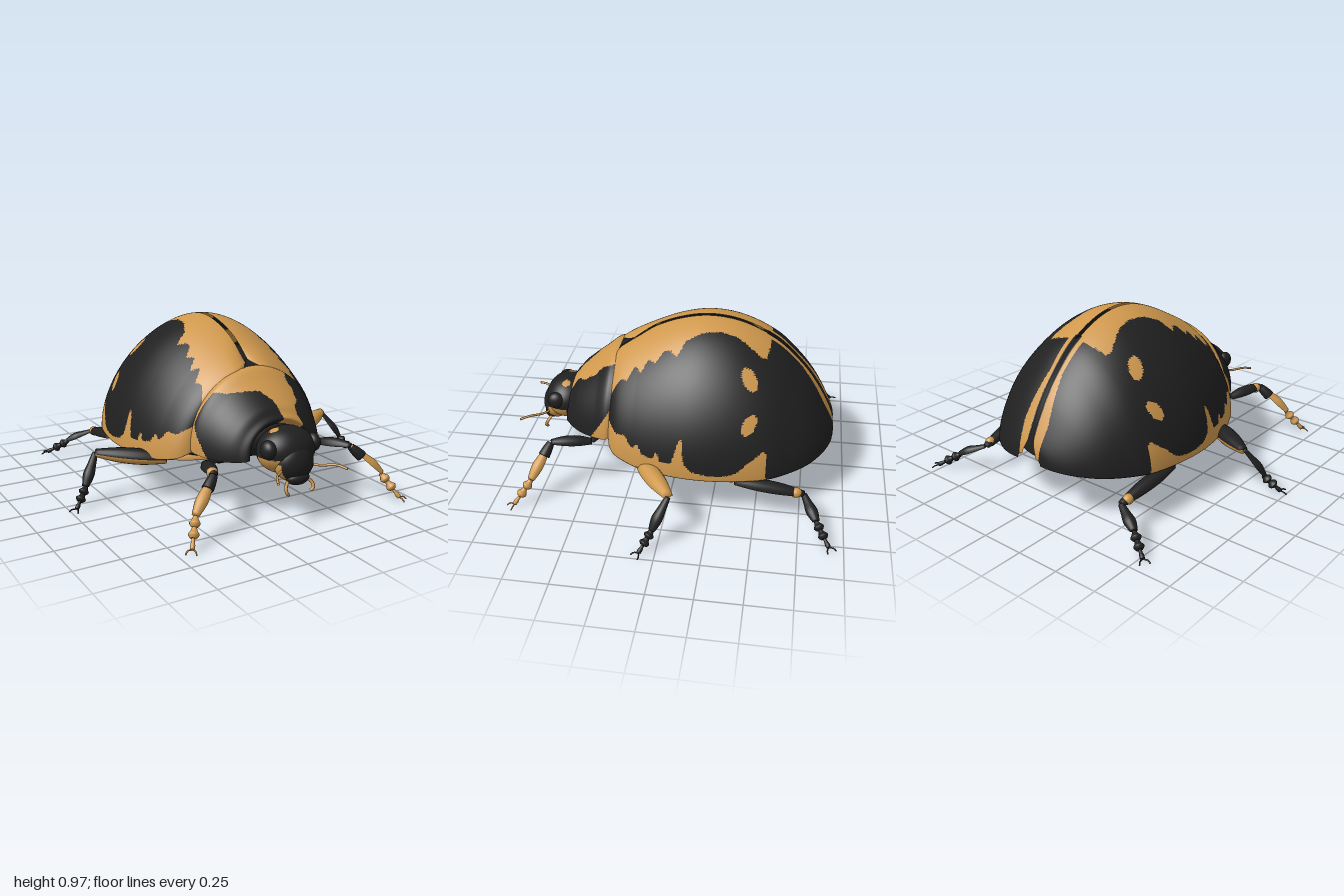
import * as THREE from 'three';

const black = new THREE.MeshStandardMaterial({ color: 0x202020, side: THREE.DoubleSide });
black.name = 'black shell';
const tan = new THREE.MeshStandardMaterial({ color: 0xcf984d, side: THREE.DoubleSide });
tan.name = 'tan shell';

const V = (x, y, z) => new THREE.Vector3(x, y, z);

// Linear lookup in a table of [key, value], keys falling
function lookup(table, k) {
  if (k >= table[0][0]) return table[0][1];
  for (let i = 1; i < table.length; i++) {
    const [k0, v0] = table[i - 1], [k1, v1] = table[i];
    if (k >= k1) return v1 + (v0 - v1) * (k - k1) / (k0 - k1);
  }
  return table[table.length - 1][1];
}

// Surface point(u, v) whose triangles are sorted into black and tan by isTan(centre)
function patterned(name, nu, nv, point, isTan, flip = false) {
  const pos = [], sorted = [[], []], row = nv + 1;
  for (let i = 0; i <= nu; i++) for (let j = 0; j <= nv; j++) pos.push(...point(i / nu, j / nv));
  const add = (a, b, c) => {
    const m = [0, 1, 2].map(k => (pos[a * 3 + k] + pos[b * 3 + k] + pos[c * 3 + k]) / 3);
    sorted[isTan && isTan(...m) ? 1 : 0].push(...(flip ? [a, c, b] : [a, b, c]));
  };
  for (let i = 0; i < nu; i++) for (let j = 0; j < nv; j++) {
    const a = i * row + j;
    add(a, a + 1, a + row);
    add(a + 1, a + row + 1, a + row);
  }
  const g = new THREE.BufferGeometry();
  g.setAttribute('position', new THREE.Float32BufferAttribute(pos, 3));
  g.setIndex([...sorted[0], ...sorted[1]]);
  g.addGroup(0, sorted[0].length, 0);
  g.addGroup(sorted[0].length, sorted[1].length, 1);
  g.computeVertexNormals();
  const mesh = new THREE.Mesh(g, [black, tan]);
  mesh.name = name;
  return mesh;
}

// Smooth cross-section {z, half width, top, bottom} at t along a list of sections
function sectionAt(list) {
  const curve = new THREE.CatmullRomCurve3(list.map(s => V(s[1], s[2], s[0])));
  return t => {
    const p = curve.getPoint(t), f = t * (list.length - 1), i = Math.min(Math.floor(f), list.length - 2);
    return { z: p.z, w: p.x, h: p.y, b: list[i][3] + (list[i + 1][3] - list[i][3]) * (f - i) };
  };
}

// Ellipsoid, optionally flatter below its centre
function blob(name, c, r, isTan = null, low = r[1], n = 28) {
  return patterned(name, n, n * 2, (u, v) => {
    const a = u * Math.PI, b = v * Math.PI * 2, s = Math.sin(a), y = s * Math.cos(b);
    return [c[0] + r[0] * s * Math.sin(b), c[1] + y * (y > 0 ? r[1] : low), c[2] + r[2] * Math.cos(a)];
  }, isTan);
}

// Limb between two points, flattened from above, with an upper and a lower colour
function limb(name, a, b, radii, upper, lower = upper, flat = 1) {
  const d = b.clone().sub(a), L = d.length();
  d.normalize();
  const curve = new THREE.SplineCurve(radii.map((r, i) => new THREE.Vector2(r, L * i / (radii.length - 1))));
  const pts = curve.getPoints(14).map(p => new THREE.Vector2(Math.max(p.x, 0.0005), p.y));
  pts.unshift(new THREE.Vector2(0, 0));
  pts.push(new THREE.Vector2(0, L));
  const g = new THREE.Group();
  g.name = name;
  [upper, lower].forEach((mat, i) => {
    const half = new THREE.Mesh(new THREE.LatheGeometry(pts, 8, (i - .5) * Math.PI, Math.PI), mat);
    half.name = name + (i ? 'Underside' : 'Top');
    g.add(half);
  });
  const up = V(0, 1, 0).addScaledVector(d, -d.y).normalize();
  g.quaternion.setFromRotationMatrix(new THREE.Matrix4().makeBasis(d.clone().cross(up), d, up));
  g.position.copy(a);
  g.scale.z = flat;
  return g;
}

function tube(name, points, r, mat) {
  const mesh = new THREE.Mesh(new THREE.TubeGeometry(new THREE.CatmullRomCurve3(points), 20, r, 8), mat);
  mesh.name = name;
  return mesh;
}

// Wing cases: sections, inner edge of the dark field, and top of the pale side band
const wingSection = sectionAt([
  [.34, .34, .70, .36], [.362, .395, .755, .33], [.325, .465, .79, .29], [.2, .53, .86, .26],
  [0, .582, .945, .25], [-.17, .6, .976, .25], [-.35, .588, .953, .25], [-.55, .54, .86, .25],
  [-.68, .465, .745, .255], [-.78, .38, .625, .262], [-.865, .26, .48, .275], [-.905, .16, .39, .285], [-.917, .085, .33, .292]]);
const bandEdge = [[.36, .33], [.3, .29], [.26, .31], [.22, .26], [.18, .3], [.14, .25], [.1, .28], [.06, .235], [.02, .24],
  [-.02, .28], [-.06, .205], [-.15, .16], [-.25, .145], [-.35, .155], [-.42, .185], [-.48, .21], [-.515, .2], [-.53, .05],
  [-.68, .045], [-.75, .06], [-.85, .085], [-.92, .07]];
const sideEdge = [[.36, .47], [.3, .42], [.25, .43], [.2, .37], [.17, .4], [.14, .35], [.08, .34], [.055, .385], [.035, .33],
  [-.03, .335], [-.065, .46], [-.085, .48], [-.1, .34], [-.15, .3], [-.25, .28], [-.35, .29], [-.4, .31], [-.45, .36],
  [-.53, .42], [-.55, .4], [-.56, 0]];

function wingIsTan(x, y, z) {
  x = Math.abs(x);
  if (y > .3 && x < lookup(bandEdge, z)) return !(z < -.5 && x < .022);
  if (y < lookup(sideEdge, z)) return true;
  const spot = (cz, cy, lean) => ((z - cz + lean * (y - cy)) / .038) ** 2 + ((y - cy) / .052) ** 2 < 1;
  return spot(-.43, .76, -.55) || spot(-.445, .56, .3);
}

function wingCase(side) {
  return patterned(side > 0 ? 'leftWingCase' : 'rightWingCase', 180, 100, (u, v) => {
    const s = wingSection(u), gap = .012 + .035 * THREE.MathUtils.smoothstep(u, .85, 1);
    const a = Math.min(v / .92, 1) * Math.PI / 2, tuck = Math.max(0, (v - .92) / .08);
    const x = gap + (s.w - gap) * Math.sin(a) ** 1.14 * (1 - .14 * tuck);
    const y = s.b + (s.h - s.b) * Math.max(0, Math.cos(a)) ** 1.14 + .012 * tuck;
    // front inner corner is rounded away beside the scutellum
    const notch = y > .6 ? .07 * Math.max(0, 1 - x / .12) ** 2 * THREE.MathUtils.smoothstep(s.z, .1, .36) : 0;
    return [side * x, y, s.z - notch];
  }, wingIsTan, side < 0);
}

// Pronotum with an uneven pale patch and pale rear corners
const pronotumSection = sectionAt([
  [.6, .17, .49, .34], [.655, .21, .525, .33], [.62, .26, .56, .32], [.55, .32, .62, .315],
  [.45, .375, .7, .32], [.38, .405, .755, .335], [.35, .4, .76, .35]]);
const patchLeft = [[.66, .03], [.63, .02], [.56, 0], [.5, -.05], [.47, -.14], [.43, -.22], [.38, -.27], [.365, -.4]];
const patchRight = [[.66, .14], [.57, .13], [.53, .18], [.45, .18], [.36, .19]];

function pronotum() {
  return patterned('pronotum', 70, 110, (u, v) => {
    const s = pronotumSection(u), a = (v - .5) * Math.PI;
    const dip = .02 * Math.cos(a) * THREE.MathUtils.smoothstep(s.z, .58, .65);
    return [s.w * Math.sin(a), s.b + (s.h - s.b) * Math.max(0, Math.cos(a)), s.z - dip];
  }, (x, y, z) => (y > .4 && x > lookup(patchLeft, z) && x < lookup(patchRight, z) + .008 * Math.sin(z * 70))
    || y < .485 - 1.6 * (z - .37));
}

// Leg: hip, bends, ankle and toe; mats gives [top, underside] for each long segment
function leg(name, side, joints, radii, mats, footMat) {
  const g = new THREE.Group();
  g.name = name;
  const p = joints.map(j => V(side * j[0], j[1], j[2])), n = p.length;
  g.add(blob('hipJoint', p[0].toArray(), [.06, .035, .05], null, .035, 10));
  for (let i = 0; i < n - 2; i++) {
    const r = radii[i], shin = i === n - 3;
    const profile = shin ? [r * .5, r * .75, r, r * .6] : [r * .6, r, r * .95, r * .5];
    g.add(limb(shin ? 'shin' : 'thigh', p[i], p[i + 1], profile, ...mats[i], .82));
  }
  // three flared foot joints and a pair of claws
  const ankle = p[n - 2], toe = p[n - 1];
  for (let i = 0; i < 3; i++) {
    const a = ankle.clone().lerp(toe, i / 3), b = ankle.clone().lerp(toe, (i + 1) / 3);
    g.add(limb('footJoint', a, b, i < 2 ? [.012, .018, .029, .018] : [.008, .01, .013, .012], footMat));
  }
  const d = toe.clone().sub(ankle).setY(0).normalize(), across = V(-d.z, 0, d.x);
  for (const s of [-1, 1]) {
    const mid = toe.clone().addScaledVector(d, .018).addScaledVector(across, s * .02);
    const end = toe.clone().addScaledVector(d, .034).addScaledVector(across, s * .028).setY(.006);
    g.add(tube('claw', [toe, mid, end], .004, footMat));
  }
  return g;
}

export function createModel() {
  const beetle = new THREE.Group();
  beetle.name = 'beetle';

  // Abdomen with a pale ring around the belly
  beetle.add(blob('abdomen', [0, .29, -.2], [.51, .53, .64], (x, y, z) => {
    const r = (x / .51) ** 2 + ((z + .2) / .64) ** 2;
    return y < .28 && z < .02 && r > .72 - .12 * THREE.MathUtils.smoothstep(-z, .4, .7) && r < .92 + .03 * Math.sin(z * 40);
  }, .08, 48));
  beetle.add(blob('thorax', [0, .39, .42], [.31, .14, .2], null, .11));
  beetle.add(blob('breastPlate', [0, .28, .14], [.36, .05, .27]));
  beetle.add(wingCase(1), wingCase(-1), pronotum());

  // Scutellum between the wing cases
  const tri = new THREE.Shape([[-.06, 0], [.06, 0], [0, .1]].map(q => new THREE.Vector2(...q)));
  const scutellum = new THREE.Mesh(new THREE.ExtrudeGeometry(tri, { depth: .015, bevelEnabled: false }), black);
  scutellum.name = 'scutellum';
  scutellum.position.set(0, .735, .36);
  scutellum.rotation.x = -Math.PI / 2 + .45;
  beetle.add(scutellum);

  // Head, face and mouth
  beetle.add(blob('head', [0, .375, .69], [.17, .13, .135], (x, y, z) => {
    const ax = Math.abs(x);
    return (ax > .05 && y < .355 && z > .67) || (y > .42 && Math.hypot(ax - .075, z - .685) < .024);
  }, .13, 44));
  beetle.add(blob('face', [0, .32, .765], [.115, .115, .085], (x, y, z) => Math.abs(x) > .05 && y < .33 && z < .8, .1));
  beetle.add(blob('upperLip', [0, .25, .8], [.07, .04, .05]));
  for (const s of [-1, 1]) {
    beetle.add(blob('eye', [s * .142, .405, .735], [.04, .052, .052], null, .052, 16));
    beetle.add(tube('antenna', [V(s * .09, .3, .79), V(s * .14, .3, .83), V(s * .19, .31, .89), V(s * .22, .3, .945)], .007, tan));
    beetle.add(tube('palp', [V(s * .06, .24, .8), V(s * .085, .21, .82), V(s * .085, .185, .83), V(s * .07, .17, .825)], .009, tan));

    // Legs
    const S = s > 0 ? 'left' : 'right', B = [black], T = [tan];
    beetle.add(leg(S + 'FrontLeg', s, [[.15, .285, .41], [.37, .285, .47], [.445, .31, .69], [.6, .15, .775], [.67, .02, .865]],
      [.032, .04, .036], [B, B, T], tan));
    beetle.add(leg(S + 'MiddleLeg', s, [[.16, .23, .27], [.45, .24, .17], [.79, .27, -.05], [.885, .11, .025], [.965, .015, .085]],
      [.04, .054, .034], [T, s > 0 ? T : [black, tan], B], black));
    beetle.add(leg(S + 'HindLeg', s, [[.2, .225, -.15], [.55, .225, -.38], [.515, .155, -.77], [.66, .09, -.845], [.775, .015, -.92]],
      [.042, .044, .034], [T, B, B], black));
    beetle.add(blob('hindKneePatch', [s * .523, .17, -.725], [.03, .03, .034], () => true, .028, 10));
    // dark sleeve below the front knee
    beetle.add(limb('kneeSleeve', V(s * .445, .31, .69), V(s * .5, .253, .72), [.021, .027, .031, .033], black));
  }
  beetle.add(blob('frontKneePatch', [-.435, .31, .655], [.031, .031, .03], () => true, .03, 10));
  return beetle;
}
